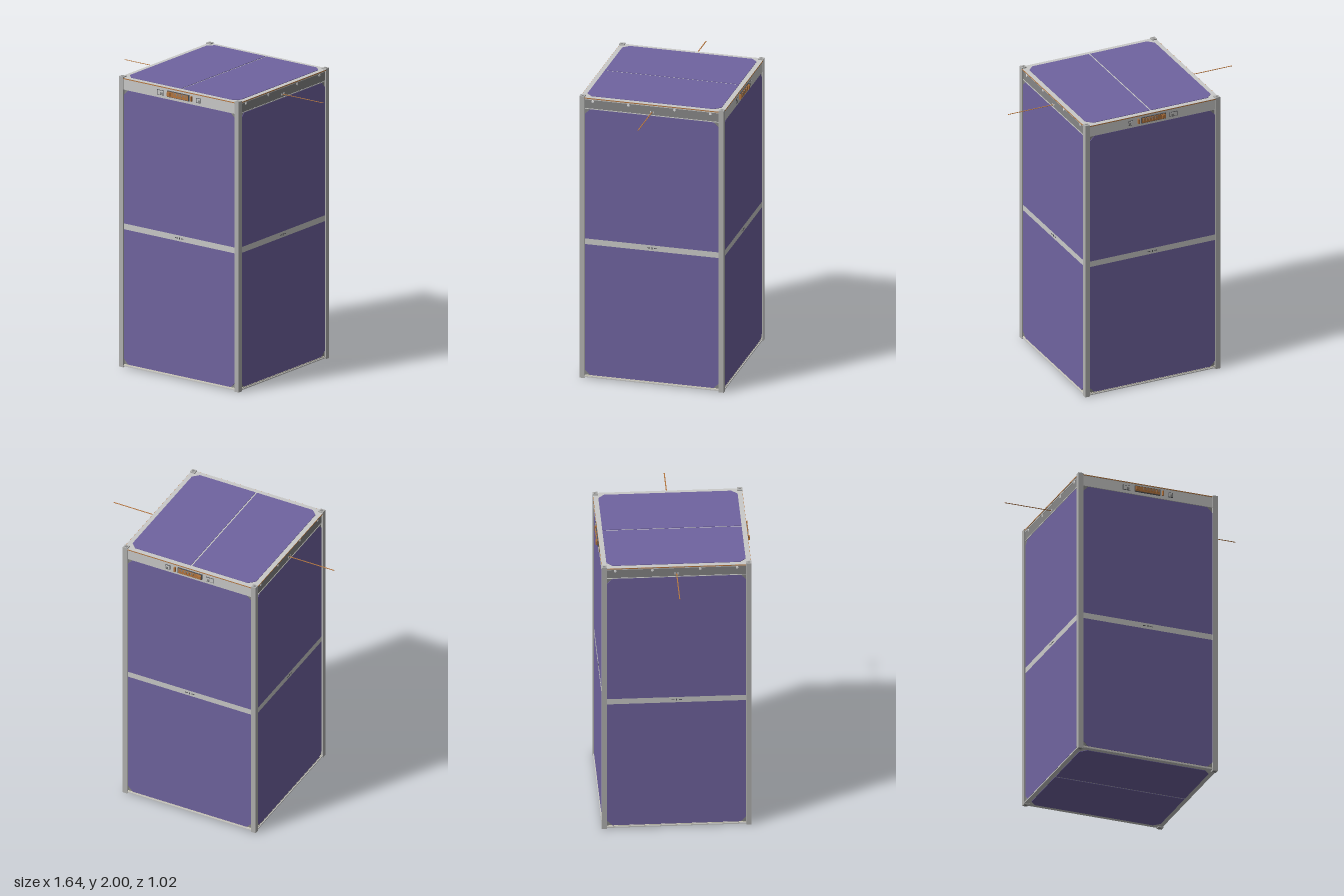
import * as THREE from 'three';

const mat = (name, color) => {
  const m = new THREE.MeshStandardMaterial({ color });
  m.name = name;
  return m;
};

export function createModel() {
  const panelGrey = mat('panel grey', 0xcacac8);
  const railGrey = mat('rail grey', 0xb2b2b0);
  const darkGrey = mat('dark grey', 0x868686);
  const slate = mat('slate', 0x55565a);
  const purple = mat('solar purple', 0x7064a0);
  const copper = mat('copper', 0xb5763f);
  const cream = mat('cream', 0xe0dccb);
  const white = mat('white', 0xf0f0f0);

  const model = new THREE.Group();
  model.name = 'smallSatellite';

  const box = (parent, name, m, w, h, d, x, y, z) => {
    const mesh = new THREE.Mesh(new THREE.BoxGeometry(w, h, d), m);
    mesh.name = name;
    mesh.position.set(x, y, z);
    parent.add(mesh);
    return mesh;
  };

  // Flat solar cell with its two upper corners cut off
  const cell = (parent, name, w, h, cut, x, y, z) => {
    const s = new THREE.Shape([
      [-w / 2, 0], [w / 2, 0], [w / 2, h - cut],
      [w / 2 - cut, h], [-w / 2 + cut, h], [-w / 2, h - cut],
    ].map(([a, b]) => new THREE.Vector2(a, b)));
    const geo = new THREE.ExtrudeGeometry(s, { depth: 0.004, bevelEnabled: false });
    const mesh = new THREE.Mesh(geo, purple);
    mesh.name = name;
    mesh.position.set(x, y, z);
    parent.add(mesh);
    return mesh;
  };

  // Inner structure behind the panels
  box(model, 'core', slate, 0.955, 1.95, 0.955, 0, 1.0, 0);

  // Corner rails with end pads
  for (const sx of [-1, 1]) {
    for (const sz of [-1, 1]) {
      box(model, 'cornerRail', railGrey, 0.035, 2, 0.035, sx * 0.4775, 1, sz * 0.4775);
      for (const y of [0.001, 1.9995]) {
        box(model, 'railEndPad', darkGrey, 0.016, 0.002, 0.016, sx * 0.4775, y, sz * 0.4775);
      }
    }
  }

  // One long side, built facing +z
  const sidePanel = (name) => {
    const g = new THREE.Group();
    g.name = name;
    box(g, 'panelBoard', darkGrey, 0.918, 1.9, 0.01, 0, 0.965, 0.478);
    cell(g, 'upperCell', 0.918, 0.92, 0.036, 0, 0.99, 0.483);
    const lower = cell(g, 'lowerCell', 0.918, 0.927, 0.036, 0, 0.95, 0.483);
    lower.rotation.z = Math.PI;
    box(g, 'middleStrip', panelGrey, 0.918, 0.04, 0.004, 0, 0.97, 0.485);
    for (const [x, w, h] of [[-0.024, 0.02, 0.005], [0, 0.006, 0.014], [0.024, 0.02, 0.005]]) {
      box(g, 'stripMark', slate, w, h, 0.002, x, 0.97, 0.4875);
    }
    box(g, 'lowerEdge', cream, 0.918, 0.01, 0.01, 0, 0.017, 0.482);
    return g;
  };

  // Connector band for the front and back
  const connectorBand = (flip) => {
    const g = new THREE.Group();
    g.name = 'connectorBand';
    box(g, 'band', panelGrey, 0.918, 0.073, 0.016, 0, 1.9485, 0.482);
    const k = flip;
    box(g, 'connectorBase', slate, 0.18, 0.042, 0.008, k * -0.005, 1.952, 0.494);
    box(g, 'connectorBody', copper, 0.172, 0.034, 0.01, k * -0.005, 1.952, 0.497);
    box(g, 'connectorSlot', darkGrey, 0.11, 0.014, 0.003, k * 0.02, 1.958, 0.502);
    for (let i = 0; i < 5; i++) {
      box(g, 'contact', copper, 0.014, 0.018, 0.004, k * (-0.024 + i * 0.022), 1.954, 0.5025);
    }
    box(g, 'connectorKey', copper, 0.026, 0.024, 0.012, k * -0.077, 1.952, 0.503);
    box(g, 'switchPin', copper, 0.01, 0.034, 0.014, k * 0.105, 1.952, 0.497);
    // Small ports: outlined plates with an inset
    for (const [x, w] of [[-0.152, 0.056], [0.16, 0.034]]) {
      box(g, 'portOutline', slate, w, 0.034, 0.006, k * x, 1.949, 0.491);
      box(g, 'portPlate', panelGrey, w - 0.006, 0.028, 0.003, k * x, 1.949, 0.4935);
      box(g, 'portInset', darkGrey, 0.018, 0.016, 0.003, k * (x + 0.008), 1.944, 0.495);
    }
    return g;
  };

  // Antenna band for the left and right
  const antennaBand = () => {
    const g = new THREE.Group();
    g.name = 'antennaBand';
    box(g, 'band', darkGrey, 0.918, 0.062, 0.012, 0, 1.947, 0.48);
    box(g, 'bandTopLip', panelGrey, 0.918, 0.008, 0.016, 0, 1.982, 0.481);
    box(g, 'bandBottomLip', panelGrey, 0.918, 0.005, 0.016, 0, 1.914, 0.481);
    const screw = new THREE.CylinderGeometry(0.009, 0.009, 0.003, 12);
    for (const x of [-0.405, -0.16, 0.155, 0.4]) {
      const m = new THREE.Mesh(screw, white);
      m.name = 'screwHead';
      m.rotation.x = Math.PI / 2;
      m.position.set(x, 1.968, 0.487);
      g.add(m);
    }
    for (const x of [-0.01, 0.01]) {
      box(g, 'antennaClip', white, 0.006, 0.012, 0.004, x, 1.936, 0.487);
    }
    box(g, 'antenna', copper, 0.007, 0.002, 0.338, 0, 1.935, 0.651);
    return g;
  };

  ['frontPanel', 'leftPanel', 'backPanel', 'rightPanel'].forEach((name, i) => {
    const side = sidePanel(name);
    side.add(i % 2 ? antennaBand() : connectorBand(i === 0 ? 1 : -1));
    side.rotation.y = i * Math.PI / 2;
    model.add(side);
  });

  // End plate built facing +z, with two cells split by a narrow strip
  const endPanel = (name) => {
    const g = new THREE.Group();
    g.name = name;
    // Plate is notched at the corners for the rails
    box(g, 'plate', panelGrey, 0.985, 0.918, 0.008, 0, 0, 0.989);
    for (const s of [-1, 1]) {
      box(g, 'plateBorder', panelGrey, 0.918, 0.0335, 0.008, 0, s * 0.47575, 0.989);
      const c = cell(g, 'endCell', 0.92, 0.455, 0.04, s * 0.005, 0, 0.992);
      c.rotation.z = -s * Math.PI / 2;
    }
    return g;
  };
  const top = endPanel('topPanel');
  top.rotation.x = -Math.PI / 2;
  top.position.y = 1;
  const bottom = endPanel('bottomPanel');
  bottom.rotation.set(Math.PI / 2, 0, Math.PI / 2);
  bottom.position.y = 1;
  model.add(top, bottom);

  // Copper edge of the top circuit board
  for (let i = 0; i < 4; i++) {
    const g = new THREE.Group();
    g.name = 'boardEdge';
    box(g, 'copperEdge', copper, 0.918, 0.006, 0.003, 0, 1.989, 0.4925);
    g.rotation.y = i * Math.PI / 2;
    model.add(g);
  }

  return model;
}
